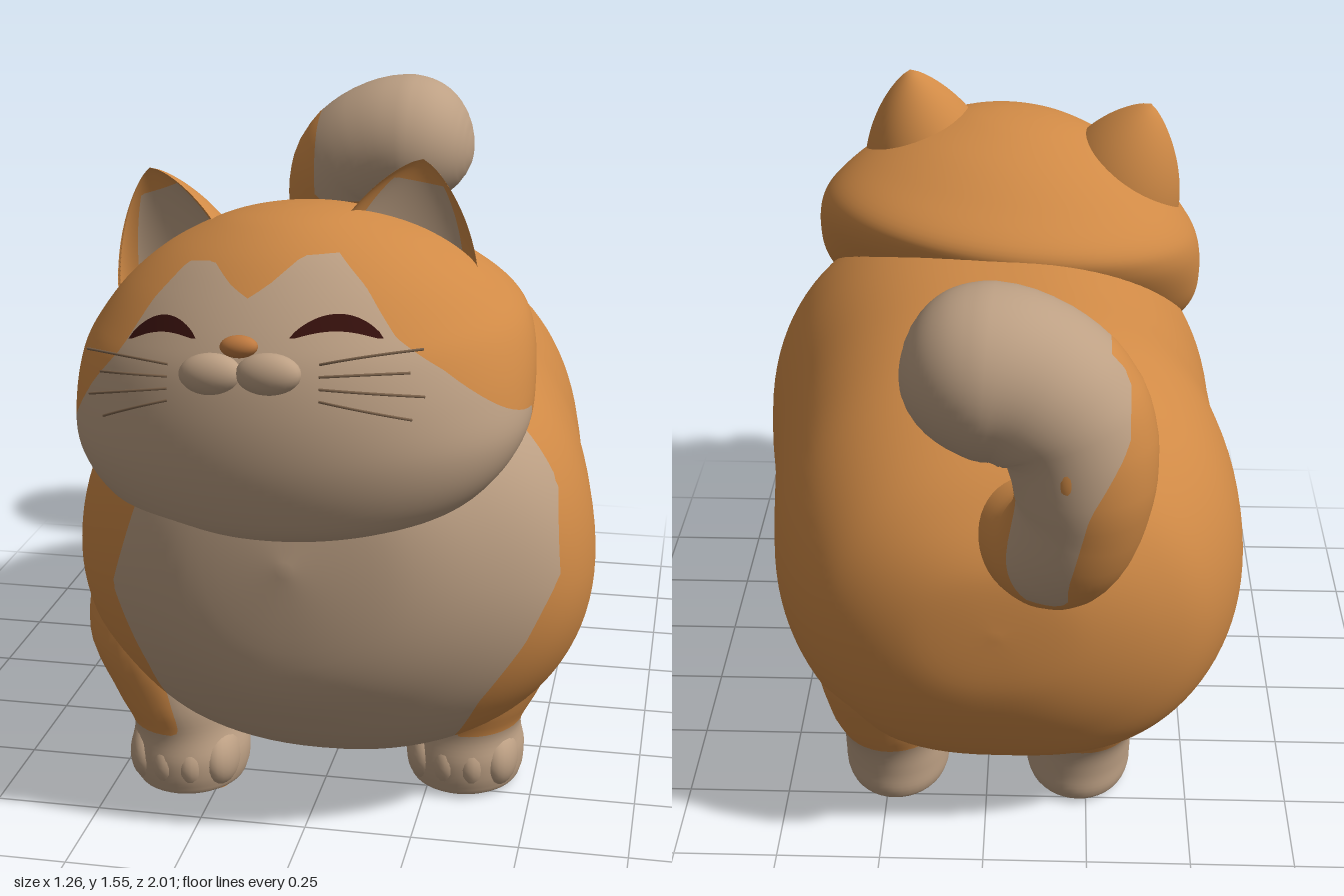
import * as THREE from 'three';
import { mergeVertices } from 'three/addons/utils/BufferGeometryUtils.js';

const material = (name, color) => {
  const m = new THREE.MeshStandardMaterial({ color });
  m.name = name;
  return m;
};

// Smooth interpolation through the rows of a table, t in 0..1
function spline(rows, t) {
  const n = rows.length - 1, f = Math.min(t, 0.999999) * n, i = Math.floor(f), k = f - i;
  const r = (j) => rows[Math.max(0, Math.min(n, j))];
  return rows[0].map((_, c) => {
    const [a, b, d, e] = [r(i - 1)[c], r(i)[c], r(i + 1)[c], r(i + 2)[c]];
    return b + 0.5 * k * (d - a + k * (2 * a - 5 * b + 4 * d - e + k * (3 * (b - d) + e - a)));
  });
}

// Piecewise linear lookup in [key, value] pairs
function lookup(pairs, key) {
  if (key <= pairs[0][0]) return pairs[0][1];
  for (let i = 1; i < pairs.length; i++) {
    const [a, va] = pairs[i - 1], [b, vb] = pairs[i];
    if (key <= b) return va + ((vb - va) * (key - a)) / (b - a);
  }
  return pairs[pairs.length - 1][1];
}

// Grid surface from fn(u, v) -> [x, y, z, field]; split cleanly where field changes sign
function surface(fn, nu, nv) {
  const pos = [], field = [], idx = [];
  for (let j = 0; j <= nv; j++) for (let i = 0; i <= nu; i++) {
    const p = fn((i % nu) / nu, j / nv);
    pos.push(p[0], p[1], p[2]);
    field.push(p[3]);
    if (i < nu && j < nv) {
      const a = j * (nu + 1) + i, b = a + nu + 1;
      idx.push(a, a + 1, b, a + 1, b + 1, b);
    }
  }
  let geo = new THREE.BufferGeometry();
  geo.setAttribute('position', new THREE.Float32BufferAttribute(pos, 3));
  geo.setAttribute('field', new THREE.Float32BufferAttribute(field, 1));
  geo.setIndex(idx);
  geo = mergeVertices(geo, 1e-5);
  // Turn the faces outwards
  const P = geo.attributes.position, I = geo.index.array;
  const vec = (i) => new THREE.Vector3().fromBufferAttribute(P, i);
  const mid = vec(I[0]).add(vec(I[I.length - 1])).multiplyScalar(0.5);
  let volume = 0;
  for (let k = 0; k < I.length; k += 3) {
    const [a, b, c] = [0, 1, 2].map((q) => vec(I[k + q]).sub(mid));
    volume += a.dot(b.cross(c));
  }
  if (volume < 0) for (let k = 0; k < I.length; k += 3) [I[k], I[k + 1]] = [I[k + 1], I[k]];
  geo.computeVertexNormals();
  const N = geo.attributes.normal, F = geo.attributes.field;
  const get = (i) => [P.getX(i), P.getY(i), P.getZ(i), N.getX(i), N.getY(i), N.getZ(i), F.getX(i)];
  const outP = [], outN = [], out = new THREE.BufferGeometry();
  [1, -1].forEach((sign, m) => {
    const start = outP.length / 3;
    for (let k = 0; k < I.length; k += 3) {
      const tri = [get(I[k]), get(I[k + 1]), get(I[k + 2])], poly = [];
      tri.forEach((a, q) => {
        const b = tri[(q + 1) % 3], fa = a[6] * sign, fb = b[6] * sign;
        if (fa >= 0) poly.push(a);
        if (fa * fb < 0) poly.push(a.map((x, c) => x + ((b[c] - x) * fa) / (fa - fb)));
      });
      for (let q = 2; q < poly.length; q++) for (const p of [poly[0], poly[q - 1], poly[q]]) {
        outP.push(p[0], p[1], p[2]);
        outN.push(p[3], p[4], p[5]);
      }
    }
    out.addGroup(start, outP.length / 3 - start, m);
  });
  out.setAttribute('position', new THREE.Float32BufferAttribute(outP, 3));
  out.setAttribute('normal', new THREE.Float32BufferAttribute(outN, 3));
  return out;
}

// Body sections: z, top, bottom, widest height, half width, centre x
const BODY = [[-0.78, 0.66, 0.66, 0.66, 0, -0.03], [-0.765, 0.81, 0.49, 0.65, 0.2, -0.03], [-0.7, 0.93, 0.33, 0.63, 0.37, -0.04],
  [-0.6, 1.03, 0.2, 0.61, 0.48, -0.05], [-0.42, 1.13, 0.12, 0.6, 0.56, -0.05], [-0.2, 1.18, 0.07, 0.6, 0.585, -0.04],
  [0.05, 1.19, 0.05, 0.6, 0.585, -0.01], [0.3, 1.19, 0.07, 0.6, 0.6, 0.015], [0.5, 1.17, 0.1, 0.6, 0.605, 0.025],
  [0.67, 1.12, 0.17, 0.62, 0.555, 0.02], [0.8, 1.05, 0.29, 0.66, 0.43, 0.01], [0.895, 0.94, 0.45, 0.7, 0.25, 0], [0.93, 0.72, 0.72, 0.72, 0, 0]];
// Fullness of the lower flank along z: smaller is boxier
const FLANK = [[-0.6, 0.72], [-0.3, 0.72], [0, 0.85], [0.35, 0.78], [0.6, 0.9]];
// Head sections: y, half width, front z, back z
const HEAD = [[0.74, 0, 0.76, 0.76], [0.755, 0.22, 0.87, 0.6], [0.79, 0.36, 0.93, 0.52], [0.86, 0.46, 0.965, 0.43], [0.95, 0.52, 0.985, 0.33],
  [1.05, 0.53, 0.985, 0.23], [1.15, 0.515, 0.965, 0.15], [1.22, 0.475, 0.93, 0.14], [1.3, 0.395, 0.87, 0.23],
  [1.37, 0.29, 0.8, 0.33], [1.42, 0.17, 0.72, 0.44], [1.44, 0.08, 0.65, 0.52], [1.445, 0, 0.59, 0.59]];

// Positive where the coat is pale: bib, belly and feet
const BIB_R = [[0.2, -0.32], [0.4, -0.36], [0.6, -0.43], [0.8, -0.36], [1, -0.3]];
const BIB_L = [[0.2, 0.33], [0.35, 0.4], [0.5, 0.5], [0.65, 0.57], [0.9, 0.55]];
const BIB_BACK = [[0.33, 0.45], [0.46, 0.615]];
const BELLY = [[-0.3, 0.18], [-0.22, 0.3], [-0.1, 0.41], [0, 0.43], [0.12, 0.42], [0.2, 0.3], [0.3, 0.17]];
const coat = (x, y, z) => Math.max(
  Math.min(x - lookup(BIB_R, y), lookup(BIB_L, y) - x, z - lookup(BIB_BACK, x), 1.05 - y), lookup(BELLY, z) - y);
const MASK = [[0, 1.3], [0.04, 1.32], [0.1, 1.365], [0.17, 1.36], [0.24, 1.29], [0.31, 1.19], [0.4, 1.11], [0.5, 1], [0.53, 0.97]];
// Edge of the pale strip on the tail: height, x
const STRIP = [[0.9, -0.19], [1.1, -0.23], [1.25, -0.31]];

// Front surface of the head at x, y
function faceZ(x, y) {
  let lo = 0, hi = 1;
  for (let i = 0; i < 30; i++) {
    const m = (lo + hi) / 2;
    if (spline(HEAD, m)[0] < y) lo = m; else hi = m;
  }
  const [, w, f, b] = spline(HEAD, lo);
  return (f + b) / 2 + ((f - b) / 2) * Math.sqrt(Math.max(0, 1 - (x / w) ** 2));
}

export function createModel() {
  const orange = material('orangeFur', 0xd08a46), cream = material('creamFur', 0xbda084);
  const eyeMat = material('eyeMaroon', 0x35100c), noseMat = material('noseOrange', 0xbf7a40), whiskerMat = material('whiskerBrown', 0x80664e);
  eyeMat.side = THREE.DoubleSide;
  const fur = [cream, orange];
  const model = new THREE.Group();
  model.name = 'cat';
  const add = (parent, name, geo, mat) => {
    const m = new THREE.Mesh(geo, mat);
    m.name = name;
    parent.add(m);
    return m;
  };
  const ball = (parent, name, mat, p, s) => {
    const m = add(parent, name, new THREE.SphereGeometry(1, 24, 16), mat);
    m.position.set(...p);
    m.scale.set(...s);
  };

  add(model, 'body', surface((u, v) => {
    const [z, top, bot, mid, w, cx] = spline(BODY, v), a = u * Math.PI * 2, c = Math.cos(a), s = Math.sin(a);
    const x = cx + w * Math.sign(c) * Math.abs(c) ** (s > 0 ? 0.82 : lookup(FLANK, z)), y = mid + (s > 0 ? top - mid : mid - bot) * s;
    return [x, y, z, coat(x, y, z)];
  }, 100, 96), fur);

  // Legs: y, centre x, centre z, radius x, radius z
  const front = [[0.004, 0.33, 0, 0, 0], [0.004, 0.33, 0, 0.11, 0.12], [0.03, 0.33, 0, 0.137, 0.145], [0.09, 0.33, 0, 0.143, 0.155],
    [0.16, 0.335, 0, 0.13, 0.15], [0.25, 0.36, -0.01, 0.15, 0.18], [0.4, 0.405, -0.02, 0.165, 0.2], [0.58, 0.4, -0.03, 0.13, 0.16], [0.75, 0.38, -0.03, 0, 0]];
  const hind = [[0.004, 0.23, -0.01, 0, 0], [0.004, 0.23, -0.01, 0.1, 0.13], [0.03, 0.23, -0.01, 0.127, 0.16], [0.09, 0.23, -0.01, 0.132, 0.165],
    [0.16, 0.235, -0.03, 0.13, 0.16], [0.25, 0.245, -0.06, 0.15, 0.175], [0.42, 0.25, -0.09, 0.165, 0.2], [0.62, 0.22, -0.06, 0.14, 0.16], [0.8, 0.2, -0.05, 0, 0]];
  for (const [name, rows, side, cz] of [['frontLeftLeg', front, 1, 0.41], ['frontRightLeg', front, -1, 0.53],
    ['hindLeftLeg', hind, 1, -0.37], ['hindRightLeg', hind, -1, -0.36]]) {
    const leg = new THREE.Group(), px = rows[0][1] * side;
    leg.name = name;
    model.add(leg);
    add(leg, 'limb', surface((u, v) => {
      const [y, cx, dz, rx, rz] = spline(rows, v), a = u * Math.PI * 2;
      const x = side * cx + rx * Math.cos(a), z = cz + dz + rz * Math.sin(a);
      return [x, y, z, coat(x, y, z)];
    }, 40, 40), fur);
    const pad = (nm, x, z, rx, rz) => {
      const m = add(leg, nm, new THREE.CylinderGeometry(1, 1, 0.005, 20), orange);
      m.position.set(x, 0.0025, z);
      m.scale.set(rx, 1, rz);
    };
    pad('palmPad', px, cz - 0.02, 0.08, 0.065);
    for (let i = 0; i < 4; i++) {
      const k = i - 1.5, z = cz + 0.085 - Math.abs(k) * 0.026;
      ball(leg, 'toe', cream, [px + k * 0.057, 0.083, z], [0.05, 0.078, 0.085]);
      pad('toePad', px + k * 0.054, z, 0.023, 0.03);
    }
  }

  // Tail: a curled tube with a swollen tip
  const path = new THREE.CatmullRomCurve3([[-0.07, 0.85, -0.58], [-0.17, 0.91, -0.79], [-0.22, 1.08, -0.85], [-0.19, 1.24, -0.835],
    [-0.07, 1.325, -0.81], [0.17, 1.33, -0.8]].map((p) => new THREE.Vector3(...p)));
  const TN = 60, frames = path.computeFrenetFrames(TN), radii = [[0, 0.13], [0.2, 0.14], [0.4, 0.145], [0.55, 0.165], [0.65, 0.18], [0.8, 0.19]];
  add(model, 'tail', surface((u, v) => {
    const t = v < 0.6 ? v * 1.35 : 1 - 0.19 * ((1 - v) / 0.4) ** 2, i = Math.min(TN, Math.round(t * TN)), a = u * Math.PI * 2;
    const r = lookup(radii, t) * Math.sqrt(Math.max(0, 1 - Math.max(0, (t - 0.8) / 0.2) ** 2));
    const p = path.getPointAt(t).addScaledVector(frames.normals[i], r * Math.cos(a)).addScaledVector(frames.binormals[i], r * Math.sin(a));
    return [p.x, p.y, p.z, Math.max(Math.min(p.x + 0.27, p.y - 1.18), Math.min(-p.z - 0.875, p.y - 0.82, p.x - lookup(STRIP, p.y)))];
  }, 48, 60), fur);
  ball(model, 'tailPatch', orange, [-0.19, 1.18, -0.992], [0.028, 0.055, 0.014]);

  // Head, tilted and turned a little about its middle
  const pivot = new THREE.Group(), head = new THREE.Group();
  pivot.name = 'headTilt';
  head.name = 'head';
  pivot.position.set(-0.025, 1.1, 0.57);
  pivot.rotation.set(0, -0.14, 0.09);
  head.position.set(0, -1.1, -0.57);
  pivot.add(head);
  model.add(pivot);
  add(head, 'skull', surface((u, v) => {
    const [y, w, f, b] = spline(HEAD, v), a = u * Math.PI * 2;
    const x = w * Math.cos(a), z = (f + b) / 2 + ((f - b) / 2) * Math.sin(a);
    return [x, y, z, Math.min(lookup(MASK, Math.abs(x)) + 0.06 * Math.max(0, x) - y, z - 0.62)];
  }, 100, 80), fur);
  ball(head, 'nose', noseMat, [0, 1.216, faceZ(0, 1.216) + 0.01], [0.042, 0.024, 0.024]);
  for (const side of [1, -1]) {
    ball(head, 'muzzle', cream, [side * 0.064, 1.16, faceZ(0.064, 1.16) - 0.004], [0.072, 0.045, 0.038]);
    // Closed eye: thin crescent on the face
    const eye = new THREE.PlaneGeometry(1, 1, 20, 2), E = eye.attributes.position;
    for (let i = 0; i < E.count; i++) {
      const k = E.getX(i) * 2, x = side * (0.197 + k * 0.092);
      const y = 1.25 - 0.03 * k * k - 0.008 * k + E.getY(i) * 0.031 * (1 - k * k) ** 0.6;
      E.setXYZ(i, x, y, faceZ(x, y) + 0.007);
    }
    eye.computeVertexNormals();
    add(head, 'eye', eye, eyeMat);
    // Whiskers
    for (let i = 0; i < 4; i++) {
      const y = 1.175 - i * 0.024, z = faceZ(0.17, y), end = 1.195 - i * 0.048;
      const curve = new THREE.QuadraticBezierCurve3(new THREE.Vector3(side * 0.17, y, z),
        new THREE.Vector3(side * 0.26, (y + end) / 2 + 0.01, z + 0.01), new THREE.Vector3(side * (0.38 - (i % 2) * 0.03), end, z - 0.05));
      add(head, 'whisker', new THREE.TubeGeometry(curve, 10, 0.003, 5), whiskerMat);
    }
    // Ear: rounded back, hollow pale front with a rim
    const ear = add(head, 'ear', surface((u, v) => {
      const a = u * Math.PI * 2, c = Math.cos(a), s = Math.sin(a), k = Math.max(0, 1 - v ** 1.8) ** 0.75;
      return [0.18 * k * c, 0.31 * v, k * s * (s < 0 ? 0.19 : -0.07), Math.min(s - 0.6, 0.84 - v)];
    }, 48, 32), fur);
    ear.position.set(side * 0.255 - 0.02, 1.23, 0.61);
    ear.rotation.set(-0.15, side * 0.25, -side * 0.23);
  }
  return model;
}
